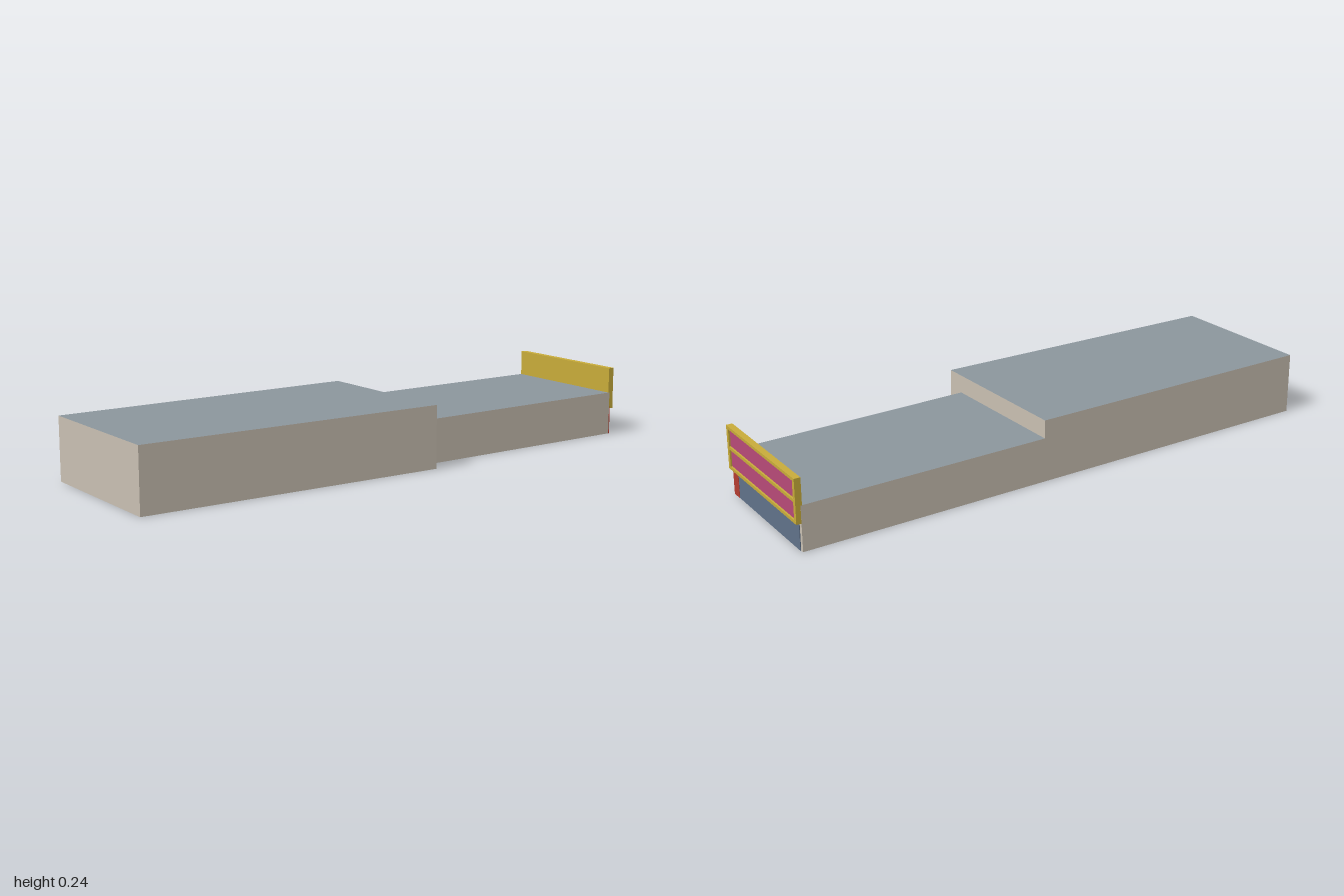
import * as THREE from 'three';

const mat = (name, color, side = THREE.FrontSide) => {
  const m = new THREE.MeshStandardMaterial({ color, side });
  m.name = name;
  return m;
};

export function createModel() {
  const wallMat = mat('beige wall', 0xc9c0b2, THREE.DoubleSide);
  const roofMat = mat('grey roof', 0x8c969d, THREE.DoubleSide);
  const gold = mat('gold', 0xc8ac3a);
  const pink = mat('pink', 0xb84a78);
  const red = mat('red', 0xb43c30);
  const blue = mat('blue grey', 0x60728a);

  const model = new THREE.Group();
  model.name = 'building';

  // Flat-sided surface from a list of four-cornered faces
  const faces = (quads, material, name) => {
    const pos = quads.flatMap(([a, b, c, d]) => [a, b, c, a, c, d].flat());
    const g = new THREE.BufferGeometry();
    g.setAttribute('position', new THREE.Float32BufferAttribute(pos, 3));
    g.computeVertexNormals();
    const mesh = new THREE.Mesh(g, material);
    mesh.name = name;
    model.add(mesh);
  };

  // Open-bottomed hall: walls around a footprint [x, z] and a flat roof.
  // Corners run front left, back left, back right, front right.
  const hall = (name, pts, h, wallCount) => {
    const walls = [];
    for (let i = 0; i < wallCount; i++) {
      const [x0, z0] = pts[i], [x1, z1] = pts[(i + 1) % 4];
      walls.push([[x0, 0, z0], [x1, 0, z1], [x1, h, z1], [x0, h, z0]]);
    }
    faces(walls, wallMat, name + 'Walls');
    faces([pts.map(([x, z]) => [x, h, z])], roofMat, name + 'Roof');
  };

  hall('frontHall', [[0.253, 1], [0.289, -0.09], [-0.28, -0.098], [-0.29, 0.99]], 0.216, 4);
  // The rear hall shares its front wall with the front hall
  hall('rearHall', [[0.222, -0.091], [0.222, -0.963], [-0.272, -0.983], [-0.28, -0.098]], 0.153, 3);

  // Shopfront on the slightly turned rear wall; local -z points outwards
  const shopfront = new THREE.Group();
  shopfront.name = 'shopfront';
  shopfront.position.set(-0.025, 0, -0.973);
  shopfront.rotation.y = -Math.atan2(0.02, 0.494);
  model.add(shopfront);

  const block = (name, material, x0, x1, y0, y1, z0, z1) => {
    const mesh = new THREE.Mesh(new THREE.BoxGeometry(x1 - x0, y1 - y0, z1 - z0), material);
    mesh.position.set((x0 + x1) / 2, (y0 + y1) / 2, (z0 + z1) / 2);
    mesh.name = name;
    shopfront.add(mesh);
  };

  block('window', blue, -0.235, 0.207, 0, 0.1, -0.003, -0.0005);
  block('pillar', red, 0.207, 0.247, 0, 0.1, -0.004, -0.0005);

  // Sign board: backing, coloured panel and raised frame
  const L = -0.247, R = 0.247, B = 0.094, T = 0.243;
  block('signBacking', gold, L, R, B, T, -0.008, 0.005);
  block('signPanel', pink, L + 0.01, R - 0.01, B + 0.01, T - 0.01, -0.011, -0.008);
  for (const y of [B, (B + T) / 2 - 0.005, T - 0.01]) {
    block('signRail', gold, L, R, y, y + 0.01, -0.017, -0.008);
  }
  for (const x of [L, R - 0.014]) {
    block('signEnd', gold, x, x + 0.014, B + 0.01, T - 0.01, -0.0165, -0.008);
  }
  return model;
}
